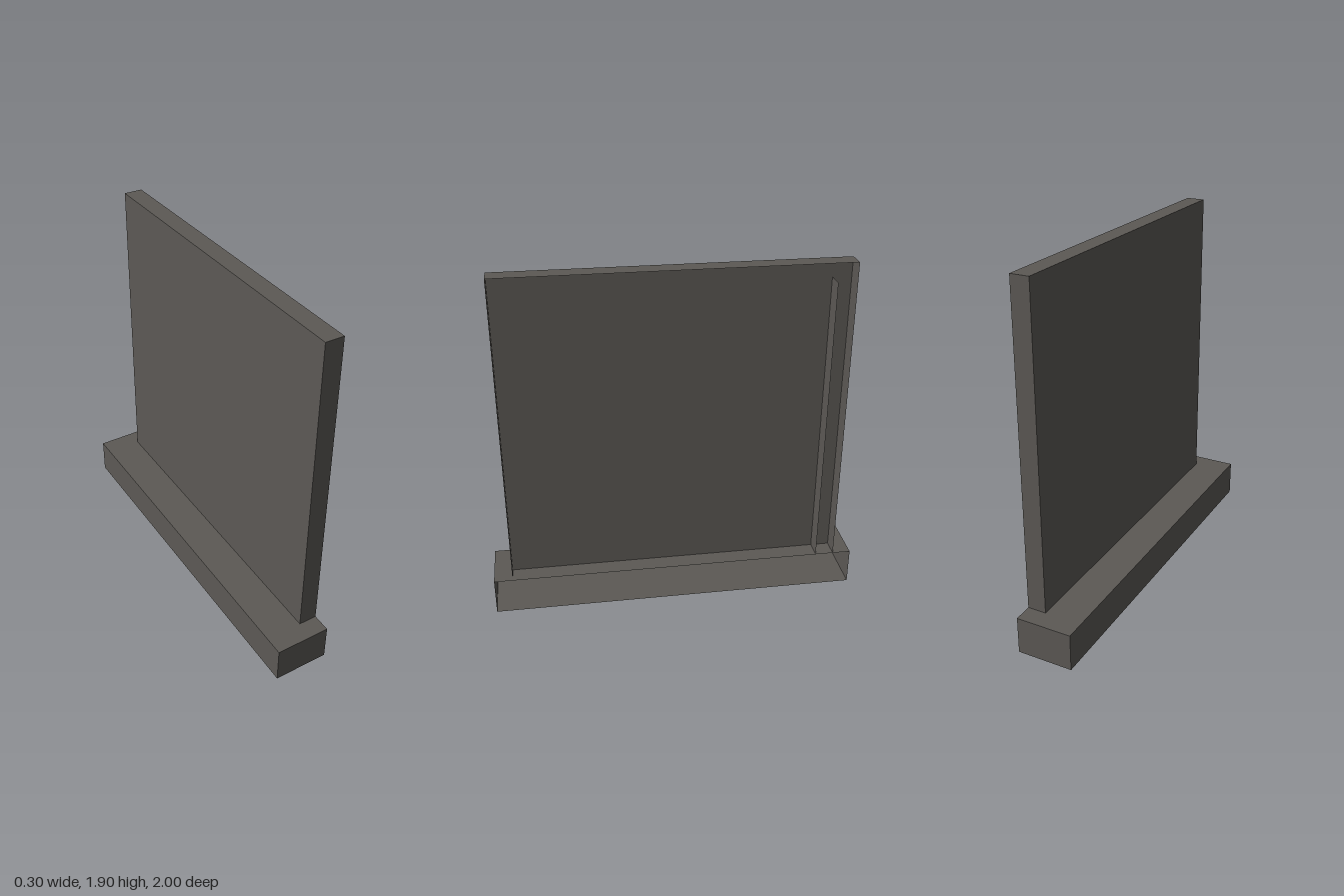
import * as THREE from 'three';

// Box shell without the listed faces (0:+x 1:-x 2:+y 3:-y 4:+z 5:-z)
function openShell(name, material, [w, h, d], [x, y, z], omit) {
  const geometry = new THREE.BoxGeometry(w, h, d);
  const index = Array.from(geometry.index.array);
  geometry.setIndex(index.filter((_, i) => !omit.includes(Math.floor(i / 6))));
  geometry.clearGroups();
  const mesh = new THREE.Mesh(geometry, material);
  mesh.name = name;
  mesh.position.set(x, y, z);
  return mesh;
}

export function createModel() {
  const group = new THREE.Group();
  group.name = 'openBackedPanel';
  const stone = new THREE.MeshStandardMaterial({ color: 0x5c5955, side: THREE.DoubleSide });
  stone.name = 'dark grey';

  // Long plinth, open along its +x side
  group.add(openShell('base', stone, [0.3, 0.2, 2], [0, 0.1, 0], [0]));

  // Upright panel, hollow and open on +x; its foot rests on the base top
  group.add(openShell('panel', stone, [0.1, 1.7, 1.8], [0.1, 1.05, 0], [0, 3]));

  // Thin upright divider inside the panel, near its rear end
  const divider = new THREE.Mesh(new THREE.PlaneGeometry(0.1, 1.6), stone);
  divider.name = 'innerDivider';
  divider.position.set(0.1, 1.0, -0.8);
  group.add(divider);

  return group;
}
